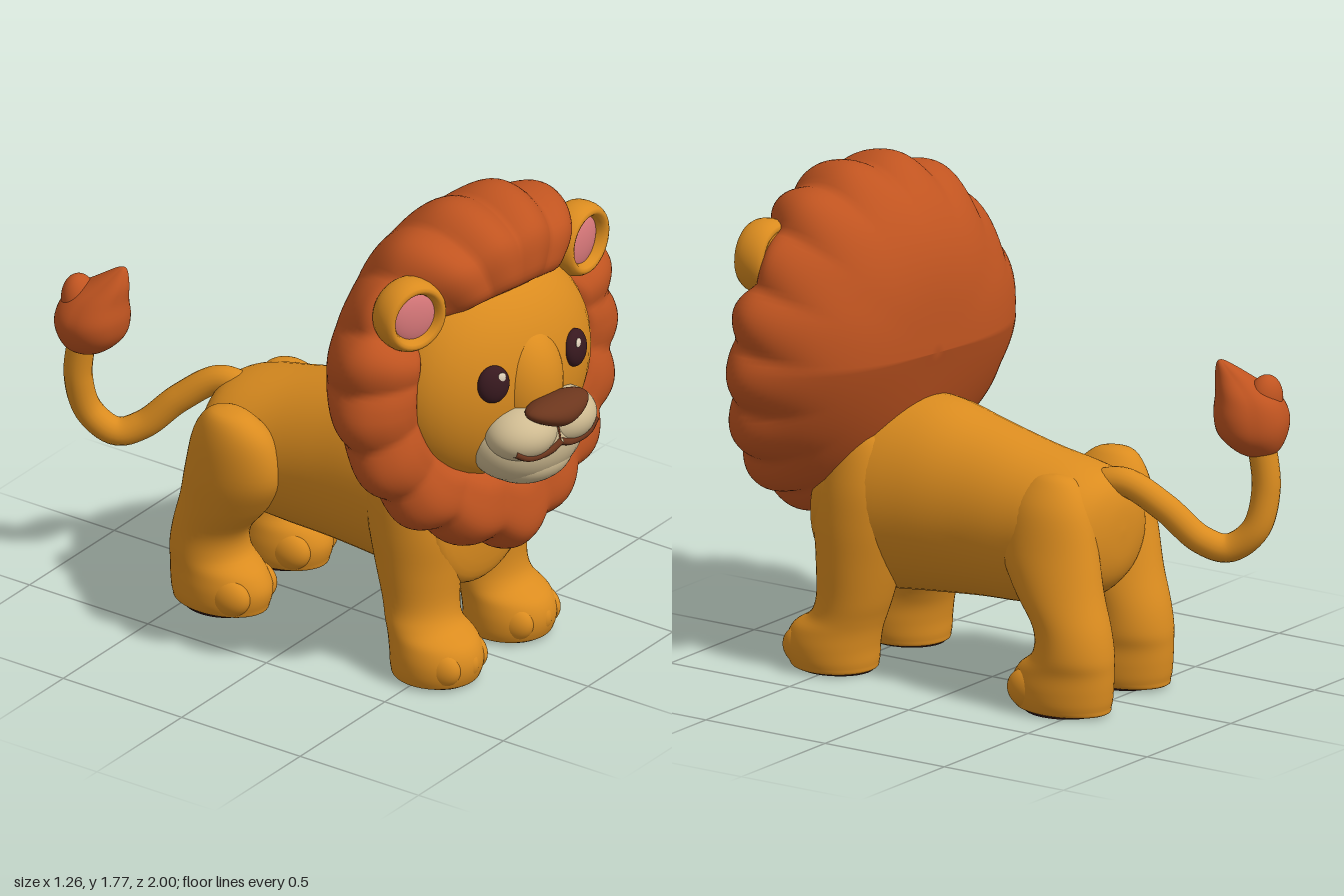
import * as THREE from 'three';
import { mergeVertices } from 'three/addons/utils/BufferGeometryUtils.js';

const { smoothstep } = THREE.MathUtils;
const mat = (name, color) => {
  const m = new THREE.MeshStandardMaterial({ color });
  m.name = name;
  return m;
};

// Closed smooth surface from a grid of points: point(t, a) for ring t (0..1) and angle a
function gridSurface(rings, segs, point) {
  const pos = [], idx = [];
  for (let k = 0; k <= rings; k++)
    for (let i = 0; i < segs; i++) pos.push(...point(k / rings, (i / segs) * Math.PI * 2));
  for (let k = 0; k < rings; k++)
    for (let i = 0; i < segs; i++) {
      const j = (i + 1) % segs, a = k * segs + i, b = k * segs + j, c = a + segs, d = b + segs;
      idx.push(a, b, c, b, d, c);
    }
  let geo = new THREE.BufferGeometry();
  geo.setAttribute('position', new THREE.Float32BufferAttribute(pos, 3));
  geo.setIndex(idx);
  geo = mergeVertices(geo, 1e-5);
  geo.computeVertexNormals();
  return geo;
}

// Smooth loft through oval sections [position, min1, max1, min2, max2] along y or z
function loft(sections, axis, lobe = () => 1) {
  const n = sections.length - 1;
  const at = (t, c) => {
    const f = Math.min(t * n, n - 1e-6), i = Math.floor(f), u = f - i;
    const p = (j) => sections[Math.max(0, Math.min(n, j))][c];
    const [a, b, d, e] = [p(i - 1), p(i), p(i + 1), p(i + 2)];
    return b + 0.5 * u * (d - a + u * (2 * a - 5 * b + 4 * d - e + u * (3 * (b - d) + e - a)));
  };
  return gridSurface(n * 5, 48, (t, a) => {
    const [s, l1, h1, l2, h2] = [0, 1, 2, 3, 4].map((c) => at(t, c)), g = lobe(a, t);
    const u = (l1 + h1) / 2 + ((h1 - l1) / 2) * Math.cos(a) * g;
    const v = ((h2 - l2) / 2) * Math.sin(a) * g, m = (l2 + h2) / 2;
    return axis === 'y' ? [u, Math.max(s, 0.005), m - v] : [u, m + v, s];
  });
}

export function createModel() {
  const gold = mat('golden fur', 0xdb8c1f), rust = mat('mane rust', 0xc05420);
  const cream = mat('muzzle cream', 0xd0bc92), brown = mat('nose brown', 0x6c361d);
  const dark = mat('eye dark', 0x38191f), sole = mat('paw sole', 0x2c1518);
  const shine = mat('eye shine', 0xecdcc4), pink = mat('ear pink', 0xdb7a7c);

  const model = new THREE.Group();
  model.name = 'lion';
  const add = (parent, name, geo, material, p = [0, 0, 0], s = [1, 1, 1]) => {
    const m = new THREE.Mesh(geo, material);
    m.name = name;
    m.position.set(...p);
    m.scale.set(...s);
    parent.add(m);
    return m;
  };
  const sphere = new THREE.SphereGeometry(1, 40, 28);
  const ball = (parent, name, material, p, r) => add(parent, name, sphere, material, p, r);

  // Body, from rump to chest
  add(model, 'body', loft([
    [-0.53, -0.03, -0.03, 0.6, 0.6], [-0.52, -0.13, 0.07, 0.48, 0.7], [-0.48, -0.23, 0.18, 0.4, 0.775],
    [-0.39, -0.28, 0.25, 0.34, 0.82], [-0.2, -0.26, 0.25, 0.305, 0.865], [0, -0.265, 0.26, 0.295, 0.915],
    [0.2, -0.285, 0.29, 0.28, 0.965], [0.4, -0.31, 0.32, 0.265, 0.96], [0.53, -0.29, 0.3, 0.28, 0.88],
    [0.585, -0.23, 0.24, 0.34, 0.78], [0.61, 0, 0, 0.54, 0.54],
  ], 'z'), gold);

  // Legs: sections [y, xMin, xMax, zMin, zMax] for the left side; lean moves the foot outwards
  const frontLeg = (lean) => loft([
    [0.005, 0.2, 0.2, 0.52, 0.52], [0.005, 0.08, 0.33, 0.38, 0.65], [0.03, 0.055, 0.355, 0.36, 0.68],
    [0.09, 0.05, 0.36, 0.355, 0.69], [0.15, 0.055, 0.35, 0.345, 0.665], [0.2, 0.06, 0.337, 0.33, 0.595],
    [0.27, 0.06, 0.335, 0.305, 0.57], [0.4, 0.045, 0.34, 0.27, 0.575], [0.55, 0.04, 0.34, 0.24, 0.585],
    [0.7, 0.05, 0.32, 0.24, 0.56], [0.85, 0.1, 0.26, 0.3, 0.5], [0.89, 0.17, 0.17, 0.4, 0.4],
  ].map(([y, a, b, c, d]) => {
    const dx = lean * (1 - smoothstep(y, 0.1, 0.35));
    return [y, a - dx, b - dx, c, d];
  }), 'y');
  const hind = loft([
    [0.005, 0.19, 0.19, -0.42, -0.42], [0.005, 0.08, 0.3, -0.59, -0.27], [0.03, 0.055, 0.325, -0.612, -0.245],
    [0.09, 0.05, 0.33, -0.62, -0.235], [0.15, 0.055, 0.325, -0.622, -0.265], [0.21, 0.06, 0.325, -0.622, -0.33],
    [0.3, 0.06, 0.315, -0.605, -0.325], [0.42, 0.04, 0.3, -0.565, -0.23], [0.55, 0.02, 0.275, -0.53, -0.16],
    [0.7, 0.02, 0.235, -0.485, -0.18], [0.79, 0.05, 0.17, -0.42, -0.26], [0.81, 0.12, 0.12, -0.35, -0.35],
  ], 'y');
  const soleGeo = new THREE.CylinderGeometry(1, 1, 0.006, 32);
  const leg = (name, geo, cx, mid, toeZ, shift) => {
    const g = new THREE.Group();
    g.name = name;
    g.position.set(...shift);
    add(g, 'leg', geo, gold);
    add(g, 'sole', soleGeo, sole, [cx, 0.003, mid], [0.12, 1, 0.138]);
    for (const i of [-1, 0, 1])
      ball(g, 'toe', gold, [cx + i * 0.078, 0.08, toeZ - Math.abs(i) * 0.02], [0.055, 0.074, 0.088]);
    model.add(g);
  };
  leg('frontLegLeft', frontLeg(0), 0.205, 0.515, 0.606, [0, 0, 0]);
  leg('frontLegRight', frontLeg(0.045), 0.16, 0.515, 0.606, [-0.385, 0, 0]);
  leg('hindLegLeft', hind, 0.19, -0.43, -0.325, [0, 0, 0]);
  leg('hindLegRight', hind, 0.19, -0.43, -0.325, [-0.405, 0, 0.035]);

  // Tail with a pointed, grooved tuft
  const tail = new THREE.CatmullRomCurve3([
    [-0.04, 0.74, -0.38], [-0.07, 0.765, -0.5], [-0.13, 0.68, -0.63], [-0.19, 0.57, -0.74], [-0.24, 0.54, -0.82],
    [-0.28, 0.61, -0.905], [-0.31, 0.75, -0.93], [-0.31, 0.93, -0.91],
  ].map((p) => new THREE.Vector3(...p)));
  add(model, 'tail', new THREE.TubeGeometry(tail, 60, 0.05, 18), gold);
  add(model, 'tailTuft', loft([
    [0.86, -0.31, -0.31, -0.9, -0.9], [0.88, -0.38, -0.25, -0.96, -0.82], [0.94, -0.43, -0.19, -0.995, -0.755],
    [1.01, -0.445, -0.18, -1, -0.735], [1.08, -0.41, -0.2, -0.97, -0.74], [1.14, -0.35, -0.23, -0.88, -0.74],
    [1.19, -0.29, -0.25, -0.8, -0.755], [1.2, -0.27, -0.27, -0.77, -0.77],
  ], 'y', (a, t) => 1 - 0.1 * t * (1 - Math.abs(Math.cos(2.5 * a)))), rust);
  ball(model, 'tailTuftLock', rust, [-0.33, 1.06, -0.91], [0.07, 0.095, 0.06]).rotation.x = -0.15;

  // Head, turned slightly to its right
  const head = new THREE.Group();
  head.name = 'head';
  head.position.set(0, 0, 0.5);
  head.rotation.y = -0.17;
  model.add(head);

  // Mane: smooth dome behind, scalloped rim rolling over into a ring around the face
  const profile = new THREE.SplineCurve([
    [0, -0.315], [0.35, -0.308], [0.6, -0.27], [0.8, -0.195], [0.94, -0.09], [1, 0.01],
    [0.97, 0.1], [0.87, 0.17], [0.75, 0.195], [0.64, 0.175], [0.54, 0.03],
  ].map((p) => new THREE.Vector2(...p)));
  add(head, 'mane', gridSurface(48, 204, (t, a) => {
    const p = profile.getPoint(t), f = t === 0 ? 0 : p.x;
    const b = Math.atan2(Math.sin(a + Math.PI / 2), Math.cos(a + Math.PI / 2)); // angle from the chin
    const scallop = Math.abs(Math.cos(8.5 * (b + 0.3 * (0.5 - t) * Math.sin(b))));
    const w = smoothstep(t, 0.22, 0.5) * (1 - 0.5 * smoothstep(t, 0.6, 0.85));
    const ear = Math.exp(-(((Math.abs(b) - 2.22) / 0.22) ** 2));
    const r = f * (0.625 + 0.045 * Math.exp(-((b / 0.25) ** 2)) - 0.015 * ear) * (1 + 0.06 * (scallop - 0.6) * w)
      - 0.06 * smoothstep(t, 0.7, 0.95) * Math.sin(a) ** 4;
    const y = r * Math.sin(a), late = smoothstep(t, 0.45, 0.75);
    const z = p.y + 0.36 * Math.max(0, -y) * (1 - t) + late * (0.015 * (scallop - 0.5) - 0.1 * ear
      + 0.065 * Math.sin(a) ** 4 - 0.03 * Math.cos(a) ** 4);
    return [r * Math.cos(a), 1.14 + y, z];
  }), rust);
  for (const [x, y, r] of [[-0.17, 0.67, 0.1], [0.17, 0.67, 0.1], [0, 0.63, 0.12]])
    ball(head, 'chinLock', rust, [x, y, 0.13], [r, 0.12, 0.1]);

  // Face and snout bridge
  const face = [0.435, 0.42, 0.275], faceZ = 0.075;
  ball(head, 'face', gold, [0, 1.13, faceZ], face);
  ball(head, 'snoutBridge', gold, [0, 1.13, 0.25], [0.15, 0.22, 0.145]);

  // Muzzle: base, two cheeks and a chin
  const muzzle = [
    [[0, 0.945, 0.27], [0.232, 0.175, 0.175]], [[0, 0.865, 0.28], [0.17, 0.1, 0.145]],
    [[0.095, 0.998, 0.345], [0.135, 0.095, 0.12]], [[-0.095, 0.998, 0.345], [0.135, 0.095, 0.12]],
  ];
  for (const [p, r] of muzzle) ball(head, 'muzzle', cream, p, r);
  const muzzleZ = (x, y) => Math.max(...muzzle.map(([p, r]) =>
    p[2] + r[2] * Math.sqrt(Math.max(0, 1 - ((x - p[0]) / r[0]) ** 2 - ((y - p[1]) / r[1]) ** 2))));

  // Nose: rounded triangle, narrower at the bottom
  const noseGeo = new THREE.SphereGeometry(1, 32, 24);
  const np = noseGeo.attributes.position;
  for (let i = 0; i < np.count; i++) np.setX(i, np.getX(i) * (0.82 + 0.42 * np.getY(i)));
  noseGeo.computeVertexNormals();
  add(head, 'nose', noseGeo, brown, [0, 1.078, 0.425], [0.15, 0.055, 0.08]);

  // Mouth line following the muzzle
  const line = (name, pts, r) => add(head, name, new THREE.TubeGeometry(new THREE.CatmullRomCurve3(
    pts.map(([x, y]) => new THREE.Vector3(x, y, muzzleZ(x, y)))), 32, r, 8), brown);
  line('philtrum', [[0, 1.04], [0, 1.01], [0, 0.965]], 0.004);
  for (const s of [-1, 1])
    line('mouth', [[0, 0.962], [0.04, 0.944], [0.1, 0.936], [0.15, 0.945], [0.195, 0.972]].map(([x, y]) => [s * x, y]), 0.013);

  // Eyes and ears, mirrored
  const rim = new THREE.TorusGeometry(0.107, 0.027, 16, 40);
  for (const s of [-1, 1]) {
    const side = s > 0 ? 'Left' : 'Right';
    const eye = new THREE.Group();
    eye.name = 'eye' + side;
    const ez = faceZ + face[2] * Math.sqrt(1 - (0.197 / face[0]) ** 2 - (0.075 / face[1]) ** 2);
    eye.position.set(s * 0.197, 1.205, ez);
    eye.rotation.set(-0.1, s * 0.3, 0);
    ball(eye, 'eyeball', dark, [0, 0, 0], [0.06, 0.068, 0.034]);
    ball(eye, 'eyeShine', shine, [-s * 0.022, 0.03, 0.0275], [0.016, 0.017, 0.005]);
    head.add(eye);

    const ear = new THREE.Group();
    ear.name = 'ear' + side;
    ear.position.set(s * 0.405, 1.48, 0.115);
    ear.rotation.set(0, s * 0.18, -s * 0.35);
    add(ear, 'earRim', rim, gold, [0, 0, 0], [0.98, 1, 2.2]);
    ball(ear, 'earBack', gold, [0, 0, -0.025], [0.115, 0.122, 0.05]);
    ball(ear, 'earInner', pink, [-s * 0.008, -0.008, 0.008], [0.1, 0.106, 0.034]);
    head.add(ear);
  }
  return model;
}
